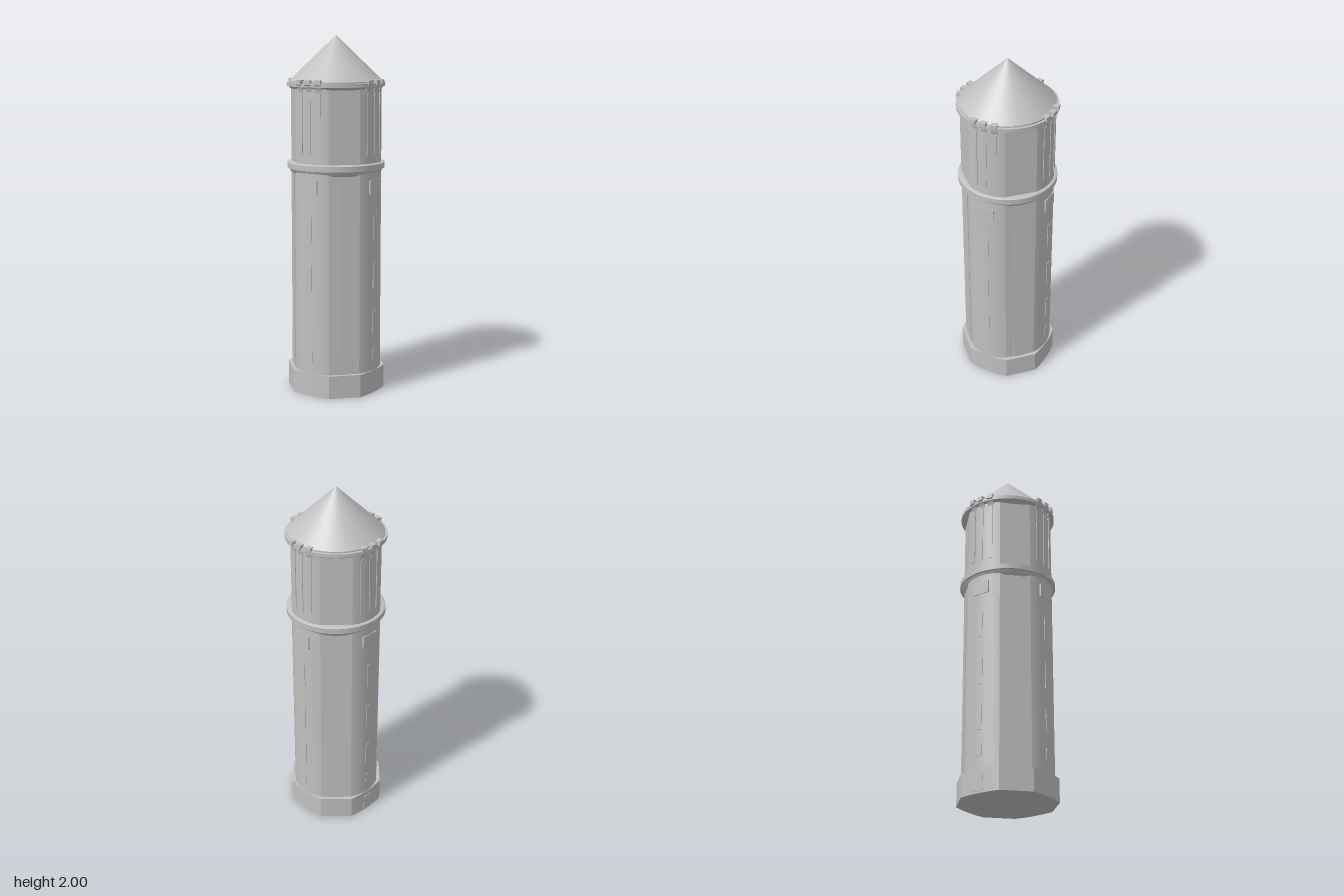
import * as THREE from 'three';
import { toCreasedNormals } from 'three/addons/utils/BufferGeometryUtils.js';

const stone = new THREE.MeshStandardMaterial({ color: 0xc0c0c0 });
stone.name = 'pale grey stone';

const SIDES = [0, 1, 2, 3].map((i) => (i * Math.PI) / 2);

function add(parent, name, geometry) {
  const mesh = new THREE.Mesh(geometry, stone);
  mesh.name = name;
  parent.add(mesh);
  return mesh;
}

// Round plan with four flat faces; the arcs between them may swell at the corners
function planPrism(flat, halfWidth, radius, y0, y1) {
  const start = Math.atan2(halfWidth, flat);
  const cornerRadius = Math.hypot(halfWidth, flat);
  const half = Math.PI / 4 - start;
  const points = [];
  for (const side of SIDES) {
    for (let i = 0; i <= 12; i++) {
      const t = i / 6 - 1;
      const r = radius + (cornerRadius - radius) * t * t;
      const a = side + Math.PI / 4 + t * half;
      points.push(new THREE.Vector2(r * Math.cos(a), r * Math.sin(a)));
    }
  }
  const geometry = new THREE.ExtrudeGeometry(new THREE.Shape(points), { depth: y1 - y0, bevelEnabled: false });
  geometry.rotateX(-Math.PI / 2).translate(0, y0, 0);
  return toCreasedNormals(geometry, 0.2);
}

function ring(points) {
  const profile = points.map(([r, y]) => new THREE.Vector2(r, y));
  return toCreasedNormals(new THREE.LatheGeometry(profile, 96), 0.5);
}

// Thin box standing on the wall at a given angle, its outer face at radius r
function wallBox(parent, name, angle, r, width, y0, y1, depth) {
  const geometry = new THREE.BoxGeometry(width, y1 - y0, depth);
  geometry.translate(0, (y0 + y1) / 2, r - depth / 2).rotateY(angle);
  return add(parent, name, geometry);
}

export function createModel() {
  const tower = new THREE.Group();
  tower.name = 'waterTower';

  // Main masses
  add(tower, 'plinth', planPrism(0.262, 0.09, 0.261, 0, 0.13));
  add(tower, 'shaft', planPrism(0.24, 0.086, 0.258, 0.12, 1.29));
  add(tower, 'tankDrum', planPrism(0.24, 0.086, 0.258, 1.28, 1.745));

  // Cornices
  add(tower, 'lowerCornice', ring([
    [0.235, 1.235], [0.25, 1.245], [0.258, 1.256], [0.264, 1.268], [0.273, 1.27],
    [0.273, 1.3], [0.262, 1.306], [0.235, 1.306],
  ]));
  add(tower, 'upperCornice', ring([
    [0.235, 1.705], [0.254, 1.71], [0.265, 1.72], [0.273, 1.722],
    [0.273, 1.742], [0.235, 1.745],
  ]));

  // Roof
  const roof = new THREE.ConeGeometry(0.26, 0.25, 96, 1);
  roof.translate(0, 1.875, 0);
  add(tower, 'roof', roof);
  const eave = new THREE.CylinderGeometry(0.26, 0.26, 0.012, 96, 1, true);
  eave.translate(0, 1.745, 0);
  add(tower, 'eave', eave);

  // Curved bracket profile: radius outward, height up
  const bracketShape = new THREE.Shape();
  bracketShape.moveTo(0.245, 1.69);
  bracketShape.lineTo(0.257, 1.69);
  bracketShape.quadraticCurveTo(0.262, 1.722, 0.279, 1.735);
  bracketShape.lineTo(0.279, 1.76);
  bracketShape.lineTo(0.247, 1.76);
  bracketShape.closePath();

  for (const side of SIDES) {
    // Flat face with a long central strip
    wallBox(tower, 'pilasterStrip', side, 0.244, 0.074, 0.125, 1.245, 0.02);

    // Windows up each rounded corner
    const corner = side + Math.PI / 4;
    for (const [y0, y1] of [[0.2, 0.26], [0.345, 0.48], [0.6, 0.75], [0.88, 1.02]]) {
      wallBox(tower, 'slitWindow', corner, 0.261, 0.03, y0, y1, 0.009);
    }
    wallBox(tower, 'wideWindow', corner, 0.261, 0.1, 1.14, 1.215, 0.02);

    // Tall louvres on the drum, each topped by a bracket
    for (const offset of [-0.225, 0, 0.225]) {
      const angle = corner + offset;
      wallBox(tower, 'louvre', angle, 0.261, 0.022, 1.355, 1.69, 0.009);
      const geometry = new THREE.ExtrudeGeometry(bracketShape, { depth: 0.034, bevelEnabled: false, curveSegments: 6 });
      geometry.translate(0, 0, -0.017).rotateY(angle - Math.PI / 2);
      add(tower, 'bracket', geometry);
    }
  }

  // Door in the back corner
  wallBox(tower, 'door', (Math.PI * 5) / 4, 0.264, 0.055, 0.012, 0.1, 0.009);

  return tower;
}
